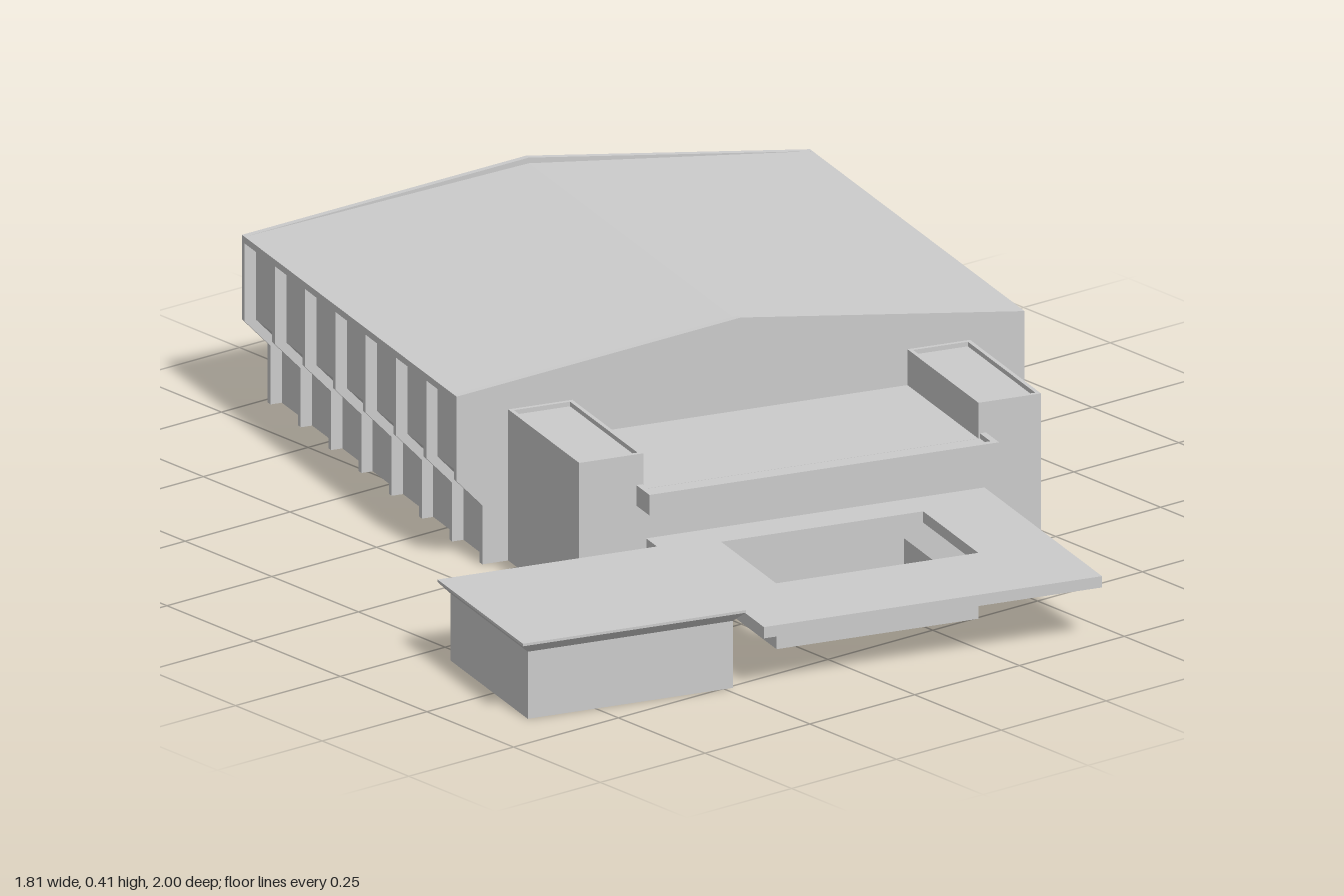
import * as THREE from 'three';

const material = new THREE.MeshStandardMaterial({ color: 0xcccccc, flatShading: true });

function add(parent, name, geometry) {
  const mesh = new THREE.Mesh(geometry, material);
  mesh.name = name;
  parent.add(mesh);
  return mesh;
}

// Box given by its limits on each axis
function block(parent, name, x0, x1, y0, y1, z0, z1) {
  const mesh = add(parent, name, new THREE.BoxGeometry(x1 - x0, y1 - y0, z1 - z0));
  mesh.position.set((x0 + x1) / 2, (y0 + y1) / 2, (z0 + z1) / 2);
  return mesh;
}

// Cross-section in x and y, extruded from z0 to z1
function slice(parent, name, points, z0, z1) {
  const shape = new THREE.Shape(points.map(([x, y]) => new THREE.Vector2(x, y)));
  const geometry = new THREE.ExtrudeGeometry(shape, { depth: z1 - z0, bevelEnabled: false });
  geometry.translate(0, 0, z0);
  return add(parent, name, geometry);
}

// Single-sided quad, corners counter-clockwise from its front
function quad(parent, name, corners) {
  const geometry = new THREE.BufferGeometry();
  geometry.setAttribute('position', new THREE.Float32BufferAttribute(corners.flat(), 3));
  geometry.setIndex([0, 1, 2, 0, 2, 3]);
  geometry.computeVertexNormals();
  return add(parent, name, geometry);
}

// Horizontal rectangular outline
function rectangle(Type, x0, x1, z0, z1) {
  const path = new Type();
  path.moveTo(x0, -z0).lineTo(x0, -z1).lineTo(x1, -z1).lineTo(x1, -z0).closePath();
  return path;
}

// Horizontal plate with a rectangular opening
function frame(parent, name, outer, inner, y0, y1) {
  const shape = rectangle(THREE.Shape, ...outer);
  shape.holes.push(rectangle(THREE.Path, ...inner));
  const geometry = new THREE.ExtrudeGeometry(shape, { depth: y1 - y0, bevelEnabled: false });
  geometry.rotateX(-Math.PI / 2).translate(0, y0, 0);
  return add(parent, name, geometry);
}

const mirror = (points) => [...points, ...points.slice().reverse().map(([x, y]) => [-x, y])];

function createHall() {
  const hall = new THREE.Group();
  hall.name = 'hall';
  hall.position.x = 0.111;
  const back = -0.91, front = 0.057, wall = 0.012, recess = 0.023;
  const side = [[0.52, 0], [0.52, 0.115], [0.572, 0.17], [0.572, 0.335]];
  const inner = side.map(([x, y]) => [x - recess, y]);

  // End walls stand a little above the roof
  const gable = [...mirror(side).slice(0, 4), [0, 0.406], ...mirror(side).slice(4)];
  slice(hall, 'backGable', gable, back, back + wall);
  slice(hall, 'frontGable', gable, front - wall, front);

  slice(hall, 'recessedWalls', mirror(inner), back + wall, front - wall);
  slice(hall, 'roof', [[-0.572, 0.322], [0.572, 0.322], [0.572, 0.335], [0, 0.395], [-0.572, 0.335]],
    back + wall, front - wall);

  // Bent ribs between the window bays
  const rib = [...side, ...inner.slice().reverse()];
  const ribLeft = rib.map(([x, y]) => [-x, y]).reverse();
  const bays = 7, pitch = (front - back - wall) / bays;
  for (let i = 1; i < bays; i++) {
    const z = back + i * pitch;
    slice(hall, 'leftRib', rib, z, z + wall);
    slice(hall, 'rightRib', ribLeft, z, z + wall);
  }
  return hall;
}

function createEntrance() {
  const entrance = new THREE.Group();
  entrance.name = 'entrance';

  // Twin towers with a shallow rim
  for (const [x0, x1] of [[-0.357, -0.228], [0.447, 0.573]]) {
    block(entrance, 'tower', x0, x1, 0, 0.286, 0.057, 0.377);
    frame(entrance, 'towerRim', [x0, x1, 0.057, 0.377],
      [x0 + 0.008, x1 - 0.008, 0.065, 0.369], 0.286, 0.295);
  }

  // Lower middle block with a projecting fascia
  block(entrance, 'middleBlock', -0.228, 0.447, 0, 0.225, 0.057, 0.376);
  block(entrance, 'fasciaDeck', -0.242, 0.462, 0.195, 0.225, 0.377, 0.436);
  block(entrance, 'fasciaRim', -0.242, 0.462, 0.225, 0.235, 0.424, 0.436);
  block(entrance, 'fasciaEnd', -0.242, -0.23, 0.225, 0.235, 0.377, 0.424);
  block(entrance, 'fasciaEnd', 0.45, 0.462, 0.225, 0.235, 0.377, 0.424);

  // Flat canopy with an opening
  frame(entrance, 'canopy', [-0.222, 0.459, 0.377, 0.907], [-0.104, 0.303, 0.45, 0.698], 0.106, 0.128);

  // Hollow piers under the opening, with a ramp between them
  const height = 0.106, z0 = 0.513, z1 = 0.7;
  for (const [x0, x1] of [[-0.104, -0.044], [0.236, 0.303]]) {
    const ring = [[x0, z0], [x0, z1], [x1, z1], [x1, z0]];
    ring.forEach(([ax, az], i) => {
      const [bx, bz] = ring[(i + 1) % 4];
      quad(entrance, 'pierWall', [[ax, 0, az], [bx, 0, bz], [bx, height, bz], [ax, height, az]]);
    });
  }
  quad(entrance, 'rampFront', [[-0.044, 0, z1], [0.236, 0, z1], [0.236, height, z1], [-0.044, height, z1]]);
  quad(entrance, 'ramp', [[-0.044, 0, z0], [-0.044, height, z1], [0.236, height, z1], [0.236, 0, z0]]);
  return entrance;
}

function createPavilion() {
  const pavilion = new THREE.Group();
  pavilion.name = 'pavilion';
  pavilion.position.set(-0.47, 0, 0.686);
  const width = 0.449, depth = 0.384, inset = 0.018;
  const w = width / 2 - inset, d = depth / 2 - inset;
  block(pavilion, 'pavilionWalls', -w, w, 0, 0.131, -d, d);

  // Eaves flare outwards from the walls
  const eaves = new THREE.BoxGeometry(width, 0.019, depth);
  const p = eaves.attributes.position;
  for (let i = 0; i < p.count; i++) {
    if (p.getY(i) < 0) p.setXYZ(i, Math.sign(p.getX(i)) * w, p.getY(i), Math.sign(p.getZ(i)) * d);
  }
  eaves.computeVertexNormals();
  add(pavilion, 'flaredEaves', eaves).position.y = 0.1405;
  block(pavilion, 'pavilionRoof', -width / 2, width / 2, 0.15, 0.155, -depth / 2, depth / 2);
  return pavilion;
}

export function createModel() {
  const model = new THREE.Group();
  model.name = 'sportsHall';
  model.add(createHall(), createEntrance(), createPavilion());
  model.rotation.y = THREE.MathUtils.degToRad(-15.5);
  const root = new THREE.Group();
  root.name = 'building';
  root.add(model);
  return root;
}
